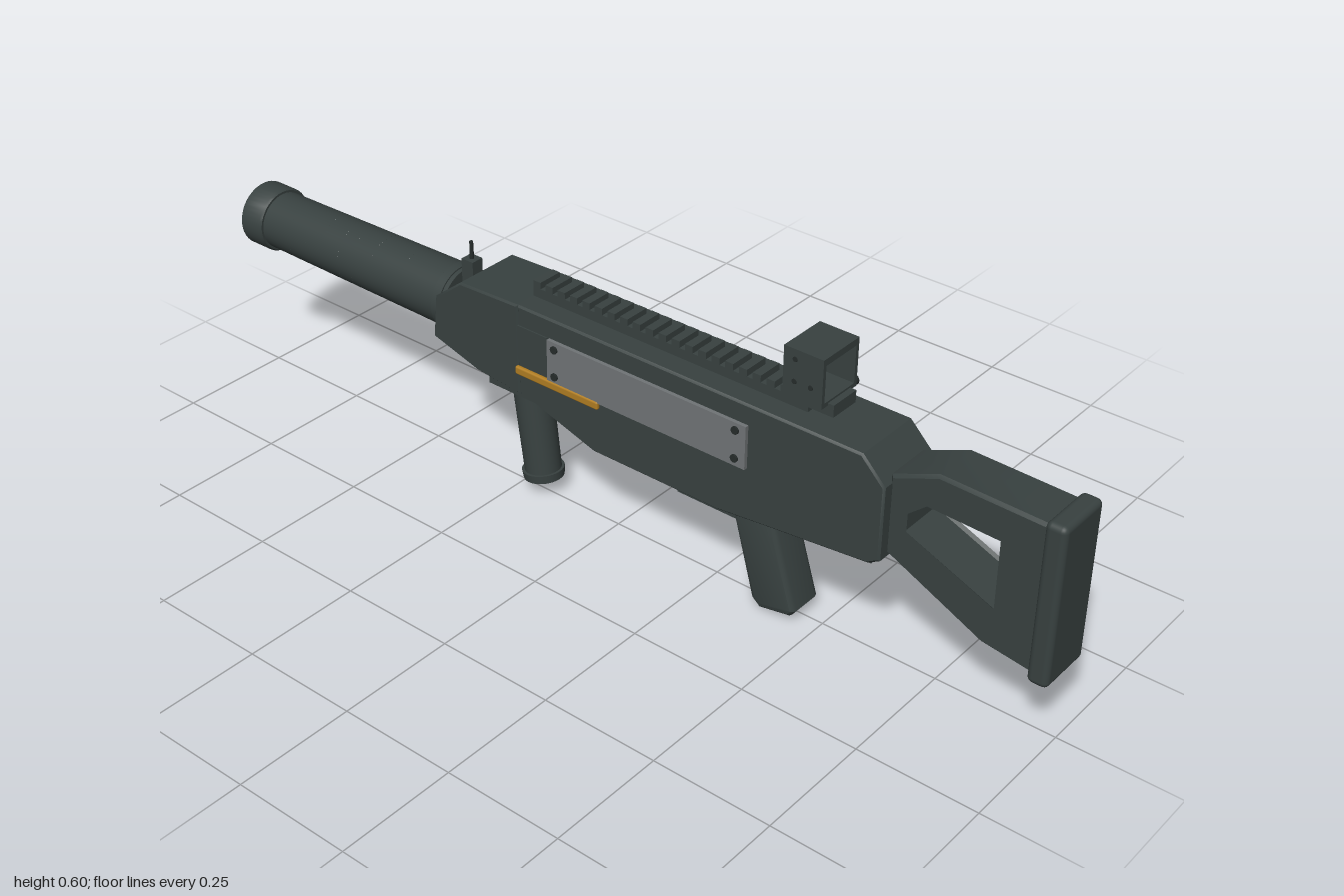
import * as THREE from 'three';
import { toCreasedNormals } from 'three/addons/utils/BufferGeometryUtils.js';
import { RoundedBoxGeometry } from 'three/addons/geometries/RoundedBoxGeometry.js';

const dark = new THREE.MeshStandardMaterial({ color: 0x384140, side: THREE.DoubleSide });
dark.name = 'gunmetal';
const black = new THREE.MeshStandardMaterial({ color: 0x262c2b });
black.name = 'blackSteel';
const grey = new THREE.MeshStandardMaterial({ color: 0x707476 });
grey.name = 'greyPlate';
const brass = new THREE.MeshStandardMaterial({ color: 0xb07d22 });
brass.name = 'brass';
const pale = new THREE.MeshStandardMaterial({ color: 0xd0d0d0, side: THREE.DoubleSide });
pale.name = 'paleSteel';

export function createModel() {
  const root = new THREE.Group();
  root.name = 'launcher';

  const add = (name, geo, mat, x = 0, y = 0, z = 0, parent = root) => {
    const m = new THREE.Mesh(geo, mat);
    m.name = name;
    m.position.set(x, y, z);
    parent.add(m);
    return m;
  };
  // Box given by its limits on each axis
  const box = (name, mat, x0, x1, y0, y1, z0, z1, parent = root) =>
    add(name, new THREE.BoxGeometry(x1 - x0, y1 - y0, z1 - z0), mat,
      (x0 + x1) / 2, (y0 + y1) / 2, (z0 + z1) / 2, parent);
  // Side profile of [z, y] points, extruded across x with bevelled edges
  const toPoints = (pts) => pts.map(([z, y]) => new THREE.Vector2(-z, y));
  const slab = (name, pts, half, bevel, hole, segments = 1) => {
    const shape = new THREE.Shape(toPoints(pts));
    if (hole) shape.holes.push(new THREE.Path(toPoints(hole)));
    const geo = new THREE.ExtrudeGeometry(shape, {
      depth: 2 * (half - bevel), bevelEnabled: true, bevelSize: bevel,
      bevelThickness: bevel, bevelOffset: -bevel, bevelSegments: segments,
    });
    geo.translate(0, 0, bevel - half).rotateY(Math.PI / 2);
    return add(name, toCreasedNormals(geo, 0.6), dark);
  };
  // Cylinder lying along x
  const pin = (name, mat, r, length, x, y, z, parent = root) =>
    add(name, new THREE.CylinderGeometry(r, r, length, 16).rotateZ(Math.PI / 2), mat, x, y, z, parent);

  // Receiver and its front shell
  slab('receiver', [[0.66, 0.42], [0.61, 0.47], [-0.19, 0.47], [-0.19, 0.272], [-0.17, 0.268],
    [0, 0.215], [0.3, 0.215], [0.42, 0.228], [0.635, 0.25], [0.66, 0.265]], 0.077, 0.004);
  slab('frontShell', [[-0.188, 0.47], [-0.34, 0.465], [-0.41, 0.41], [-0.42, 0.315],
    [-0.3, 0.28], [-0.188, 0.27]], 0.078, 0.004);
  slab('lowerRail', [[0.635, 0.265], [0.635, 0.242], [0.42, 0.222], [0.3, 0.21],
    [0.01, 0.21], [0.01, 0.23], [0.3, 0.24]], 0.065, 0.003);

  // Stock frame and butt pad
  slab('stock', [[0.965, 0.47], [0.75, 0.475], [0.655, 0.435], [0.655, 0.272], [0.86, 0.175], [0.965, 0.16]],
    0.054, 0.006, [[0.885, 0.405], [0.73, 0.41], [0.69, 0.375], [0.69, 0.33], [0.885, 0.25]]);
  add('buttPad', new RoundedBoxGeometry(0.124, 0.335, 0.042, 3, 0.012), dark, 0, 0.3125, 0.979);

  // Pistol grip, trigger and guard
  slab('pistolGrip', [[0.395, 0.235], [0.3, 0.235], [0.36, 0.02], [0.38, 0.003], [0.45, 0.016], [0.46, 0.03]],
    0.043, 0.014, null, 3);
  box('guardBottom', dark, -0.014, 0.014, 0.16, 0.17, 0.16, 0.325);
  box('guardFront', dark, -0.014, 0.014, 0.16, 0.22, 0.16, 0.169);
  const trigger = box('trigger', black, -0.008, 0.008, 0.182, 0.225, 0.232, 0.243);
  trigger.rotation.x = 0.3;

  // Fore grip
  box('foreGripMount', dark, -0.05, 0.05, 0.242, 0.29, -0.295, -0.17);
  const foreGrip = new THREE.Group();
  foreGrip.name = 'foreGrip';
  foreGrip.position.set(0, 0.143, -0.212);
  foreGrip.rotation.x = -0.13;
  root.add(foreGrip);
  add('handle', new THREE.CylinderGeometry(0.04, 0.038, 0.21, 32), dark, 0, 0, 0, foreGrip);
  add('handleCap', new THREE.CylinderGeometry(0.044, 0.042, 0.018, 32), dark, 0, -0.098, 0, foreGrip);

  // Barrel shroud: rings, left open on one side at each slot
  const barrelY = 0.373;
  const radiusAt = (z) => 0.068 + (z + 0.41) * 0.011;
  const ring = (z0, z1, gap) => add('shroud',
    new THREE.CylinderGeometry(radiusAt(z1), radiusAt(z0), z0 - z1, 40, 1, true,
      Math.PI / 2 + gap, 2 * Math.PI - 2 * gap).rotateX(-Math.PI / 2),
    dark, 0, barrelY, (z0 + z1) / 2);
  let from = -0.4;
  for (const z of [-0.46, -0.555, -0.643, -0.734, -0.83]) {
    ring(from, z + 0.027, 0);
    ring(z + 0.027, z - 0.027, 0.26);
    from = z - 0.027;
  }
  ring(from, -0.94, 0);
  add('innerBarrel', new THREE.CylinderGeometry(0.045, 0.045, 0.1, 32).rotateX(Math.PI / 2), pale, 0, barrelY, -0.69);
  add('barrelCollar', new THREE.CylinderGeometry(0.071, 0.071, 0.02, 40).rotateX(Math.PI / 2), dark, 0, barrelY, -0.42);

  // Muzzle cap with its bore
  const capProfile = [[0.05, 0.935], [0.067, 0.935], [0.07, 0.94], [0.07, 0.994], [0.064, 1], [0.046, 1], [0.046, 0.965]];
  const cap = new THREE.LatheGeometry(capProfile.map(([r, y]) => new THREE.Vector2(r, y)), 40).rotateX(-Math.PI / 2);
  add('muzzleCap', toCreasedNormals(cap, 0.6), dark, 0, barrelY, 0);
  add('boreDisc', new THREE.CircleGeometry(0.047, 32).rotateY(Math.PI), pale, 0, barrelY, -0.985);

  // Plates, bolts and brass bars on both sides
  for (const s of [-1, 1]) {
    const side = new THREE.Group();
    side.name = s > 0 ? 'leftFittings' : 'rightFittings';
    root.add(side);
    add('sidePlate', new THREE.BoxGeometry(0.009, 0.092, 0.475), grey, s * 0.0805, 0.382, 0.13, side);
    add('seamPanel', new THREE.BoxGeometry(0.004, 0.075, 0.076), dark, s * 0.078, 0.39, -0.15, side);
    add('brassBar', new RoundedBoxGeometry(0.01, 0.018, 0.21, 2, 0.004), brass, s * 0.0825, 0.33, -0.085, side);
    for (const z of [0.345, -0.088])
      for (const y of [0.353, 0.413]) pin('bolt', black, 0.008, 0.008, s * 0.085, y, z, side);
  }

  // Vent panel on the left side only
  box('ventPanel', dark, 0.07, 0.08, 0.38, 0.437, 0.43, 0.58);
  for (let i = 0; i < 6; i++) {
    const slat = box('ventSlat', black, 0.078, 0.084, 0.386, 0.432, 0.444 + i * 0.023, 0.454 + i * 0.023);
    slat.rotation.x = -0.12;
  }

  // Top rail with teeth
  box('railBase', dark, -0.028, 0.028, 0.465, 0.49, -0.19, 0.46);
  for (let i = 0; i < 20; i++) {
    const z = -0.19 + i * 0.031;
    box('railTooth', dark, -0.028, 0.028, 0.489, 0.504, z, z + 0.018);
  }

  // Box sight: open frame along z
  const frame = new THREE.Shape([[-0.053, 0.505], [0.053, 0.505], [0.053, 0.605], [-0.053, 0.605]].map((p) => new THREE.Vector2(...p)));
  frame.holes.push(new THREE.Path([[-0.045, 0.514], [0.045, 0.514], [0.045, 0.591], [-0.045, 0.591]].map((p) => new THREE.Vector2(...p))));
  add('sightFrame', new THREE.ExtrudeGeometry(frame, { depth: 0.085, bevelEnabled: false }), dark, 0, 0, 0.42);
  box('sightFoot', dark, -0.034, 0.034, 0.485, 0.51, 0.41, 0.518);
  pin('sightKnob', black, 0.011, 0.012, 0.062, 0.506, 0.49);
  pin('sightKnobStem', dark, 0.006, 0.03, 0.045, 0.506, 0.49);
  pin('sightButton', black, 0.007, 0.006, 0.056, 0.568, 0.465);
  for (const s of [-1, 1])
    for (const [y, z] of [[0.585, 0.445], [0.54, 0.445], [0.54, 0.48]]) pin('sightScrew', black, 0.005, 0.002, s * 0.0535, y, z);
  add('reticle', new THREE.SphereGeometry(0.002, 8, 6), pale, 0, 0.553, 0.46);

  // Front post sight
  box('postBase', dark, -0.014, 0.014, 0.42, 0.474, -0.395, -0.365);
  add('post', new THREE.CylinderGeometry(0.004, 0.005, 0.06, 12), black, 0, 0.482, -0.38);

  return root;
}
